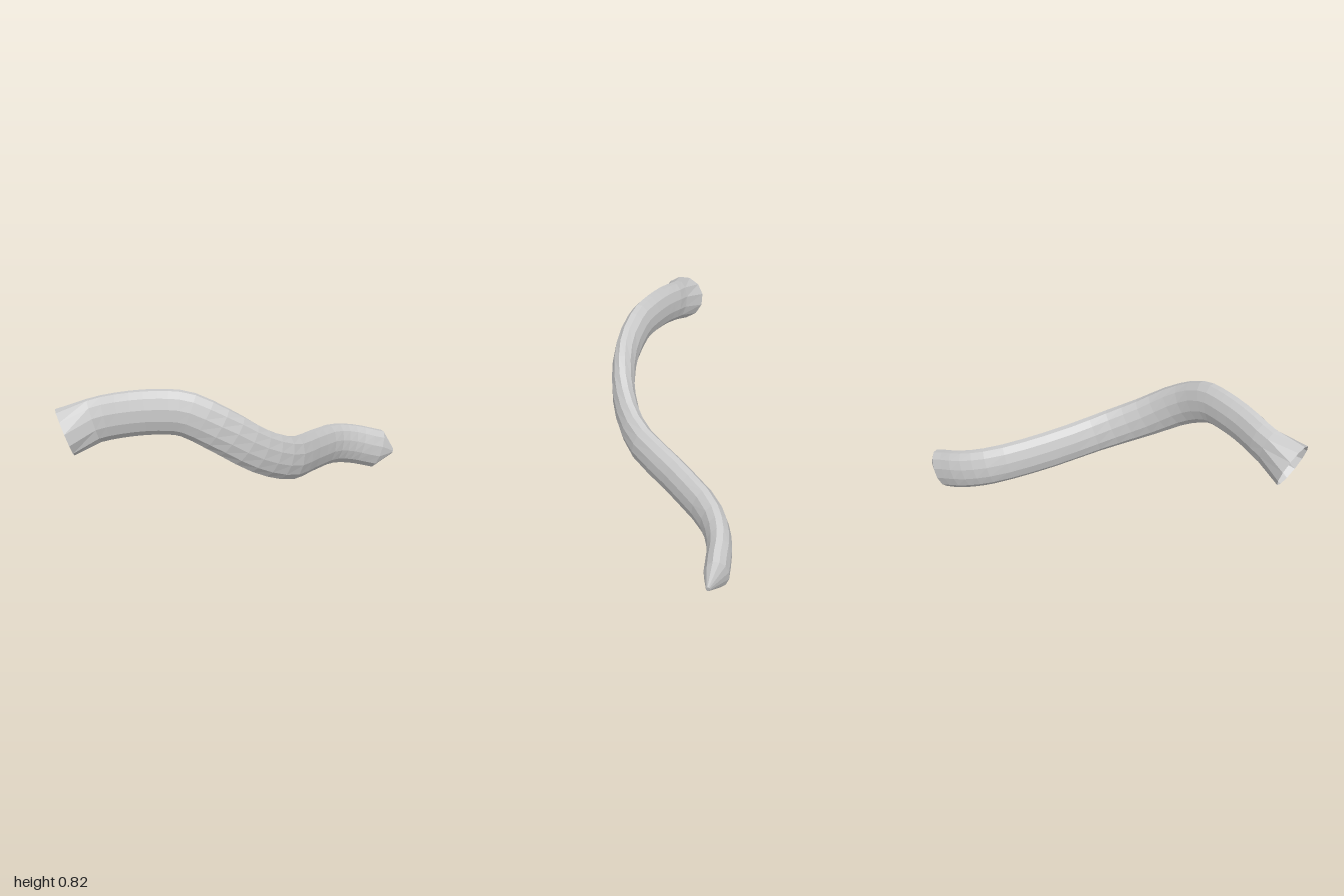
import * as THREE from 'three';

const SIDES = 12;
const STEPS = 26;

// Centre line, from the flared open end to the pointed end
const path = new THREE.CatmullRomCurve3([
  [-0.965, 0.62, 0.26], [-0.82, 0.67, 0.26], [-0.66, 0.705, 0.3], [-0.5, 0.717, 0.338],
  [-0.38, 0.705, 0.365], [-0.2, 0.608, 0.386], [0, 0.468, 0.338], [0.2, 0.357, 0.205],
  [0.4, 0.28, -0.06], [0.6, 0.22, -0.29], [0.75, 0.173, -0.37], [0.905, 0.122, -0.392],
].map((p) => new THREE.Vector3(...p)));

// One oval ring square to the direction of travel
function pushRing(out, centre, tangent, halfWidth, halfHeight) {
  const side = new THREE.Vector3(0, 1, 0).cross(tangent).normalize();
  const up = tangent.clone().cross(side);
  for (let j = 0; j < SIDES; j++) {
    const a = ((j + 0.5) / SIDES) * Math.PI * 2;
    const p = centre.clone()
      .addScaledVector(side, halfWidth * Math.cos(a))
      .addScaledVector(up, halfHeight * Math.sin(a));
    out.push(p.x, p.y, p.z);
  }
}

// Skin a stack of rings, with an optional flat cap on the last one
function skin(name, positions, capped) {
  const index = [];
  const rings = positions.length / 3 / SIDES;
  for (let i = 0; i < rings - 1; i++) {
    for (let j = 0; j < SIDES; j++) {
      const a = i * SIDES + j;
      const b = i * SIDES + ((j + 1) % SIDES);
      index.push(a, b, a + SIDES, b, b + SIDES, a + SIDES);
    }
  }
  if (capped) {
    const k = (rings - 1) * SIDES;
    for (let j = 1; j < SIDES - 1; j++) index.push(k, k + j, k + j + 1);
  }
  const geometry = new THREE.BufferGeometry();
  geometry.setAttribute('position', new THREE.Float32BufferAttribute(positions, 3));
  geometry.setIndex(index);
  geometry.computeVertexNormals();
  const mesh = new THREE.Mesh(geometry, new THREE.MeshStandardMaterial({
    color: 0xcccccc, flatShading: true, side: THREE.DoubleSide,
  }));
  mesh.name = name;
  return mesh;
}

export function createModel() {
  const group = new THREE.Group();
  group.name = 'curvedTube';
  const width = 0.063;
  const height = 0.117;
  const neck = 1 / 11; // parameter of the second path point

  // Flared socket: a round mouth narrowing to the oval body
  const socket = [];
  pushRing(socket, path.getPoint(0), path.getTangent(0), 0.122, 0.124);
  pushRing(socket, path.getPoint(neck), path.getTangent(neck), width, height);
  group.add(skin('flaredSocket', socket, false));

  // Long winding body
  const body = [];
  for (let i = 0; i <= STEPS; i++) {
    const t = neck + (1 - neck) * (i / STEPS);
    pushRing(body, path.getPoint(t), path.getTangent(t), width, height);
  }
  group.add(skin('body', body, false));

  // Blunt cone closing the lower end
  const tip = [];
  const end = path.getTangent(1);
  pushRing(tip, path.getPoint(1), end, width, height);
  pushRing(tip, new THREE.Vector3(0.997, 0.105, -0.373), end, 0.01, 0.017);
  group.add(skin('tip', tip, true));

  return group;
}
